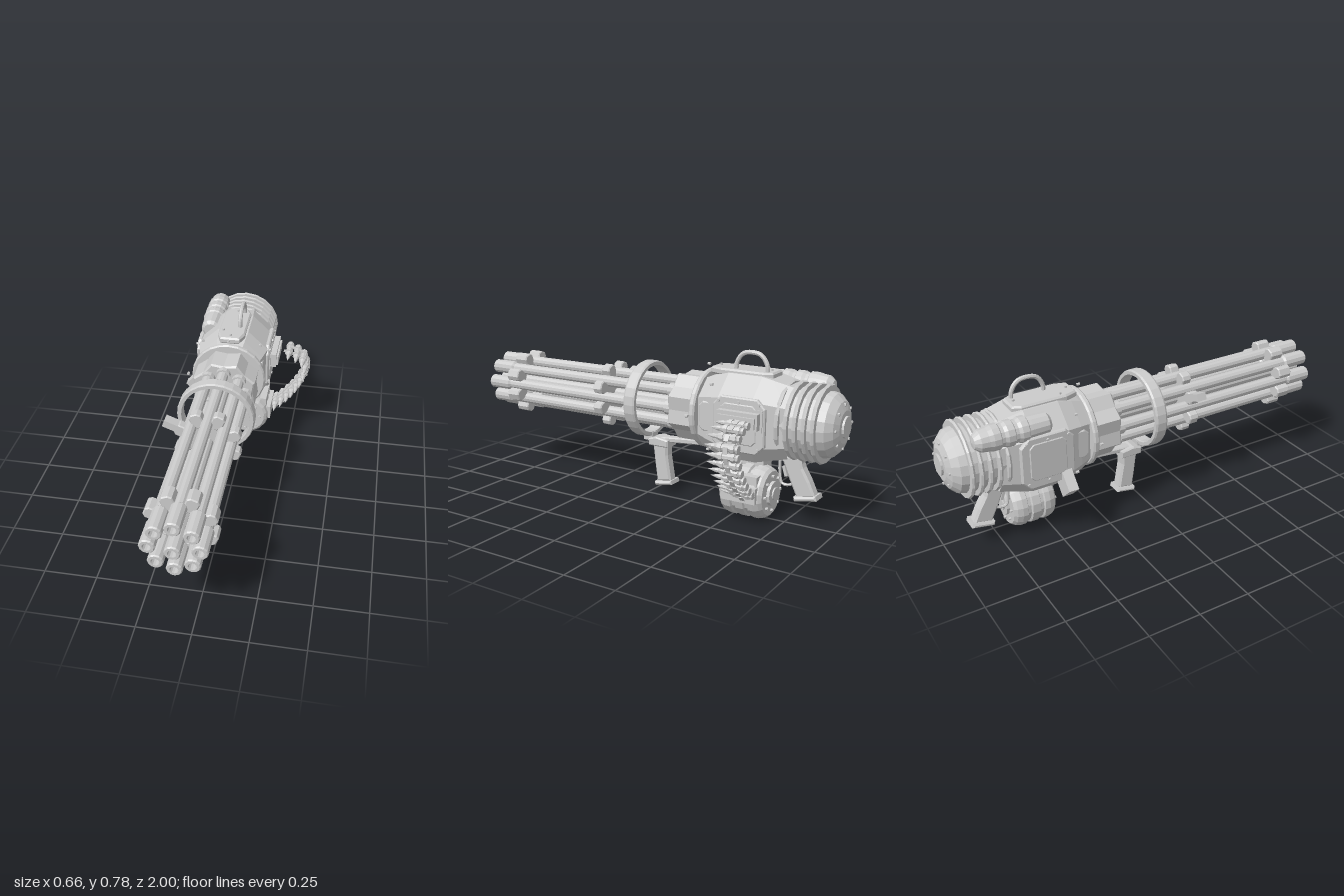
import * as THREE from 'three';

const CX = -0.067, CY = 0.477; // barrel axis
const mat = new THREE.MeshStandardMaterial({ color: 0xcccccc, flatShading: true, side: THREE.DoubleSide });

export function createModel() {
  const model = new THREE.Group();
  const core = new THREE.Group(); // everything centred on the barrel axis
  core.name = 'core';
  core.position.set(CX, CY, 0);
  model.add(core);

  const add = (parent, name, geo, x = 0, y = 0, z = 0) => {
    const m = new THREE.Mesh(geo, mat);
    m.name = name;
    m.position.set(x, y, z);
    parent.add(m);
    return m;
  };
  const box = (parent, name, w, h, d, x, y, z) => add(parent, name, new THREE.BoxGeometry(w, h, d), x, y, z);
  // lathe along z; points are [radius, z], z rising
  const turned = (pts, sides) =>
    new THREE.LatheGeometry(pts.map(p => new THREE.Vector2(...p)), sides).rotateX(Math.PI / 2);
  const rod = (r, len, sides) => new THREE.CylinderGeometry(r, r, len, sides).rotateX(Math.PI / 2);
  const shapeOf = pts => new THREE.Shape(pts.map(p => new THREE.Vector2(...p)));
  const bevelled = (pts, depth, bevel) => new THREE.ExtrudeGeometry(shapeOf(pts), {
    depth: depth - 2 * bevel, bevelEnabled: bevel > 0, bevelSize: bevel, bevelThickness: bevel,
    bevelSegments: 1, bevelOffset: -bevel,
  }).translate(0, 0, bevel - depth / 2);
  // outline drawn in the (z, y) plane, thickness across x
  const sidePlate = (pts, width, bevel) => bevelled(pts, width, bevel).rotateY(-Math.PI / 2);
  const chamfered = (z0, z1, y0, y1, c) => [
    [z0 + c, y0], [z1 - c, y0], [z1, y0 + c], [z1, y1 - c], [z1 - c, y1], [z0 + c, y1], [z0, y1 - c], [z0, y0 + c]];
  const bolt = (parent, x, y, z, axis = 'z') => {
    const g = new THREE.CylinderGeometry(0.007, 0.007, 0.014, 6);
    if (axis === 'z') g.rotateX(Math.PI / 2);
    if (axis === 'x') g.rotateZ(Math.PI / 2);
    return add(parent, 'bolt', g, x, y, z);
  };

  // Barrels: eight around a longer central one
  const barrel = end => turned([[0.028, -0.2], [0.028, end - 0.14], [0.036, end - 0.13], [0.036, end - 0.006],
    [0.031, end], [0.019, end], [0.019, end - 0.1], [0, end - 0.1]], 12);
  const outer = barrel(0.98);
  for (let i = 0; i < 8; i++) {
    const a = i * Math.PI / 4;
    add(core, 'barrel', outer, 0.11 * Math.cos(a), 0.11 * Math.sin(a), 0);
  }
  add(core, 'centreBarrel', barrel(1));

  // Clamp blocks wedged between neighbouring barrels
  const wedge = [[0.09, -0.012], [0.122, -0.03], [0.152, -0.03], [0.166, -0.016], [0.166, 0.016], [0.152, 0.03], [0.122, 0.03], [0.09, 0.012]];
  [[0.805, 0.075], [0.245, 0.05]].forEach(([z, d]) => {
    const g = bevelled(wedge, d, 0.005);
    for (let i = 0; i < 8; i++) add(core, 'barrelClamp', g, 0, 0, z).rotation.z = (i + 0.5) * Math.PI / 4;
  });
  add(core, 'clampDisc', rod(0.1, 0.03, 16), 0, 0, 0.245);
  const lug = box(core, 'clampLug', 0.075, 0.036, 0.05, -0.172, 0.077, 0.245);
  lug.rotation.z = -0.38;

  // Scalloped barrel carrier and flange
  const star = [];
  for (let i = 0; i < 16; i++) {
    const a = i * Math.PI / 8, r = i % 2 ? 0.17 : 0.148;
    star.push([r * Math.cos(a), r * Math.sin(a)]);
  }
  add(core, 'barrelCarrier', bevelled(star, 0.14, 0.008), 0, 0, -0.235);
  for (let i = 0; i < 8; i++) {
    const a = i * Math.PI / 4;
    add(core, 'barrelSocket', rod(0.037, 0.03, 12), 0.11 * Math.cos(a), 0.11 * Math.sin(a), -0.155);
  }
  add(core, 'flange', turned([[0, -0.33], [0.185, -0.33], [0.192, -0.322], [0.192, -0.307], [0.185, -0.3], [0, -0.3]], 24));
  for (let i = 0; i < 4; i++) {
    const a = i * Math.PI / 2;
    bolt(core, 0.212 * Math.cos(a), 0.212 * Math.sin(a), -0.305);
  }

  // Hoop around the barrels
  add(core, 'hoop', turned([[0.17, 0.003], [0.187, 0.003], [0.192, 0.012], [0.192, 0.056], [0.187, 0.065],
    [0.17, 0.065], [0.167, 0.056], [0.167, 0.012], [0.17, 0.003]], 28));

  // Housing: eight-sided sections blended along z
  const section = [[0.183, -0.12], [0.183, 0.1], [0.08, 0.197], [-0.08, 0.197], [-0.183, 0.1], [-0.183, -0.12], [-0.13, -0.192], [0.13, -0.192]];
  const stations = [[-0.77, 0.82], [-0.67, 0.94], [-0.62, 1], [-0.45, 1], [-0.38, 0.9], [-0.325, 0.8]];
  const pos = [], idx = [];
  stations.forEach(([z, s]) => section.forEach(([x, y]) => pos.push(x * s, y * s, z)));
  for (let j = 0; j < stations.length - 1; j++) for (let i = 0; i < 8; i++) {
    const a = j * 8 + i, b = j * 8 + (i + 1) % 8;
    idx.push(a, b, b + 8, a, b + 8, a + 8);
  }
  const housing = new THREE.BufferGeometry();
  housing.setAttribute('position', new THREE.Float32BufferAttribute(pos, 3));
  housing.setIndex(idx);
  housing.computeVertexNormals();
  add(core, 'housing', housing);

  // Side armour, panels and bolts on both flanks
  for (const s of [-1, 1]) {
    add(core, 'sidePlate', sidePlate(chamfered(-0.69, -0.43, -0.14, 0.115, 0.04), 0.024, 0.006), s * 0.18);
    add(core, 'sidePanel', sidePlate(chamfered(-0.65, -0.47, -0.1, 0.085, 0.02), 0.012, 0.004), s * 0.19);
    add(core, 'frontPanel', sidePlate(chamfered(-0.415, -0.345, -0.07, 0.07, 0.02), 0.03, 0.005), s * 0.155);
    for (const z of [-0.66, -0.56, -0.46]) for (const y of [-0.112, 0.092]) bolt(core, s * 0.192, y, z, 'x');
    for (const y of [-0.15, 0.15]) bolt(core, s * 0.15, y, -0.4);
  }

  // Top cover with carrying handle
  add(core, 'topCover', bevelled([[-0.05, 0.34], [0.05, 0.34], [0.07, 0.4], [0.07, 0.62], [0.05, 0.66], [-0.05, 0.66], [-0.07, 0.62], [-0.07, 0.4]],
    0.034, 0.008).rotateX(-Math.PI / 2), 0, 0.195, 0);
  for (const z of [-0.37, -0.63]) bolt(core, 0, 0.214, z, 'y');
  bolt(core, -0.045, 0.214, -0.42, 'y');
  const arch = new THREE.CatmullRomCurve3([[0.2, -0.465], [0.245, -0.47], [0.285, -0.5], [0.294, -0.545], [0.285, -0.59], [0.245, -0.62], [0.2, -0.625]]
    .map(([y, z]) => new THREE.Vector3(0.034, y, z)));
  add(core, 'carryHandle', new THREE.TubeGeometry(arch, 20, 0.011, 8));

  // Rear motor: rounded cap, cooling fins and hub
  add(core, 'rearCap', turned([[0, -0.99], [0.075, -0.99], [0.115, -0.975], [0.145, -0.945], [0.155, -0.9], [0.157, -0.72], [0, -0.72]], 20));
  add(core, 'rearHub', rod(0.05, 0.02, 16), 0, 0, -0.99);
  const fin = turned([[0.14, -0.009], [0.178, -0.009], [0.183, 0], [0.178, 0.009], [0.14, 0.009]], 20);
  for (let i = 0; i < 5; i++) add(core, 'coolingFin', fin, 0, 0, -0.735 - i * 0.042);
  for (let i = 0; i < 8; i++) bolt(core, 0.1 * Math.cos(i * Math.PI / 4), 0.1 * Math.sin(i * Math.PI / 4), -0.98);

  // Canister on the upper right shoulder
  const can = [[0, -0.885], [0.03, -0.88], [0.05, -0.855], [0.055, -0.82]];
  for (const z of [-0.8, -0.735, -0.67]) can.push([0.06, z], [0.06, z + 0.03], [0.053, z + 0.035], [0.053, z + 0.05]);
  can.push([0.05, -0.54], [0.035, -0.525], [0, -0.525]);
  add(model, 'canister', turned(can, 14), -0.203, 0.62, 0);

  // Ejection chute on the lower right
  const chute = box(model, 'ejectionChute', 0.15, 0.095, 0.05, -0.242, 0.335, -0.475);
  chute.rotation.z = Math.PI * 0.26;

  // Ammunition drum hung below the housing
  const drum = new THREE.Group();
  drum.name = 'ammoDrum';
  drum.position.set(0, 0.13, 0);
  model.add(drum);
  add(drum, 'drumShell', turned([[0, -0.68], [0.105, -0.68], [0.118, -0.665], [0.126, -0.64], [0.126, -0.615], [0.116, -0.61], [0.116, -0.595],
    [0.126, -0.59], [0.126, -0.55], [0.116, -0.545], [0.116, -0.53], [0.126, -0.525], [0.126, -0.5], [0.118, -0.475], [0.105, -0.465], [0, -0.465]], 18));
  for (const z of [-0.46, -0.685]) {
    add(drum, 'drumHub', rod(0.058, 0.02, 12), 0, 0, z);
    add(drum, 'drumCap', rod(0.03, 0.034, 12), 0, 0, z);
    for (let i = 0; i < 8; i++) bolt(drum, 0.082 * Math.cos(i * Math.PI / 4), 0.082 * Math.sin(i * Math.PI / 4), z);
  }
  box(drum, 'drumOutlet', 0.05, 0.075, 0.17, 0.11, 0.015, -0.575);
  box(model, 'drumSaddle', 0.14, 0.06, 0.16, 0.04, 0.2, -0.575);
  box(model, 'drumNeck', 0.09, 0.08, 0.12, -0.045, 0.265, -0.575);

  // Feed port on the left flank
  box(model, 'feedPort', 0.05, 0.075, 0.2, 0.135, 0.497, -0.57);
  box(model, 'feedLip', 0.014, 0.05, 0.18, 0.163, 0.492, -0.57);
  box(model, 'feedRail', 0.02, 0.1, 0.22, 0.12, 0.497, -0.57);

  // Ammunition belt: rounds with link rings and joining tabs
  const belt = new THREE.CatmullRomCurve3([[0.218, 0.495], [0.265, 0.478], [0.3, 0.445], [0.309, 0.4], [0.298, 0.355], [0.272, 0.3], [0.24, 0.25], [0.2, 0.2], [0.153, 0.157]]
    .map(([x, y]) => new THREE.Vector3(x, y, 0)));
  const round = turned([[0, -0.66], [0.018, -0.66], [0.018, -0.65], [0.013, -0.647], [0.017, -0.643], [0.017, -0.56], [0.011, -0.545], [0.011, -0.53], [0, -0.49]], 8);
  const ring = turned([[0.018, -0.008], [0.022, -0.008], [0.022, 0.008], [0.018, 0.008]], 8);
  const count = 11;
  for (let i = 0; i < count; i++) {
    const p = belt.getPointAt(i / (count - 1)), t = belt.getTangentAt(i / (count - 1));
    const link = new THREE.Group();
    link.name = 'beltLink';
    link.position.copy(p);
    link.rotation.z = Math.atan2(t.y, t.x);
    model.add(link);
    add(link, 'round', round);
    for (const z of [-0.635, -0.575]) add(link, 'linkRing', ring, 0, 0, z);
    for (const s of [-1, 1]) box(link, 'linkTab', 0.032, 0.004, 0.022, s * 0.01, s * 0.02, -0.605);
  }

  // Pistol grips, each with a wider foot
  const grip = (name, pts, foot) => {
    add(model, name, sidePlate(pts, 0.06, 0.01), CX);
    add(model, name + 'Foot', sidePlate(foot, 0.09, 0.008), CX);
  };
  grip('frontGrip', [[0, 0.27], [-0.01, 0.2], [-0.016, 0.15], [-0.03, 0.055], [-0.11, 0.07], [-0.1, 0.13], [-0.088, 0.2], [-0.09, 0.27]].reverse(),
    [[-0.022, 0.058], [-0.026, 0.038], [-0.123, 0.055], [-0.118, 0.075]].reverse());
  grip('rearGrip', [[-0.695, 0.32], [-0.715, 0.27], [-0.745, 0.2], [-0.785, 0.115], [-0.875, 0.135], [-0.845, 0.2], [-0.81, 0.26], [-0.79, 0.32]].reverse(),
    [[-0.775, 0.122], [-0.78, 0.1], [-0.888, 0.12], [-0.882, 0.142]].reverse());

  // Front grip bracket and arm running back to the housing
  add(model, 'gripBracket', sidePlate([[0.012, 0.245], [0.012, 0.28], [-0.03, 0.292], [-0.1, 0.282], [-0.1, 0.245]].reverse(), 0.09, 0.006), CX);
  box(model, 'hoopFoot', 0.05, 0.04, 0.05, CX, 0.285, 0.025);
  add(model, 'gripArm', sidePlate([[-0.02, 0.262], [-0.02, 0.288], [-0.37, 0.318], [-0.37, 0.29], [-0.2, 0.278]].reverse(), 0.05, 0.005), CX);

  // Trigger and guard in front of the rear grip
  box(model, 'gripMount', 0.07, 0.04, 0.16, CX, 0.305, -0.73);
  const guard = new THREE.CatmullRomCurve3([[0.29, -0.685], [0.2, -0.69], [0.165, -0.7], [0.16, -0.73], [0.175, -0.765]]
    .map(([y, z]) => new THREE.Vector3(CX, y, z)));
  add(model, 'triggerGuard', new THREE.TubeGeometry(guard, 14, 0.007, 6));
  box(model, 'trigger', 0.014, 0.05, 0.014, CX, 0.225, -0.715).rotation.x = 0.3;

  return model;
}
